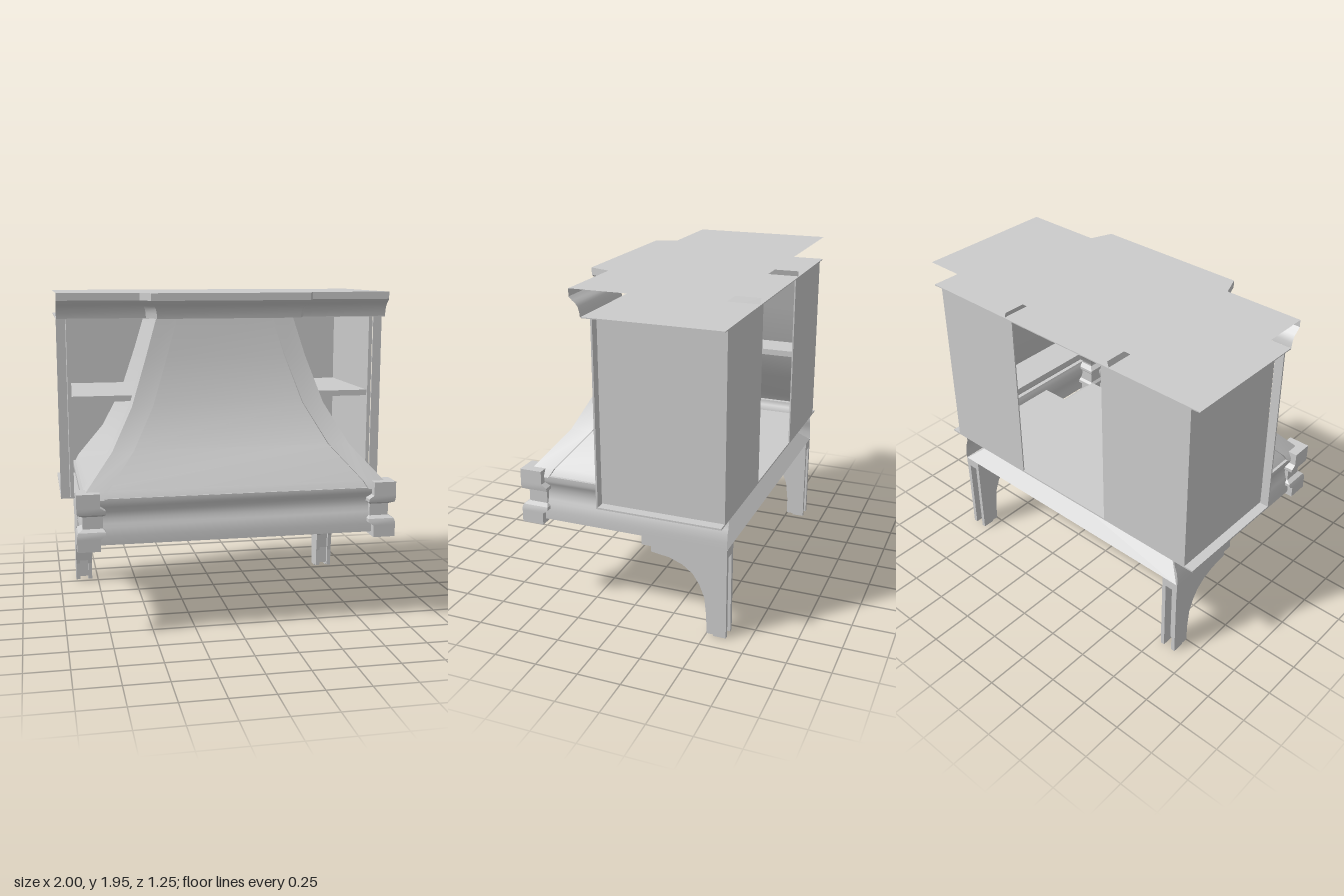
import * as THREE from 'three';
import { toCreasedNormals } from 'three/addons/utils/BufferGeometryUtils.js';

const material = new THREE.MeshStandardMaterial({ color: 0xcccccc, side: THREE.DoubleSide });
const BACK = -0.62;

// Skin over rows of [x, y, z] points; rows go up, points run left to right as seen from outside
function loft(rows, closed = false) {
  const n = rows[0].length, index = [];
  for (let i = 0; i < rows.length - 1; i++) {
    for (let j = 0; j < (closed ? n : n - 1); j++) {
      const k = (j + 1) % n;
      const a = i * n + j, b = i * n + k, c = b + n, d = a + n;
      index.push(a, b, c, a, c, d);
    }
  }
  if (closed) {
    const top = (rows.length - 1) * n;
    for (let j = 1; j < n - 1; j++) index.push(0, j + 1, j, top, top + j, top + j + 1);
  }
  const g = new THREE.BufferGeometry();
  g.setAttribute('position', new THREE.Float32BufferAttribute(rows.flat(2), 3));
  g.setIndex(index);
  return toCreasedNormals(g, 0.6);
}

// Box given by its limits
function box(x0, x1, y0, y1, z0, z1) {
  return new THREE.BoxGeometry(x1 - x0, y1 - y0, z1 - z0)
    .translate((x0 + x1) / 2, (y0 + y1) / 2, (z0 + z1) / 2);
}

// Side profile of [z, y] points, extruded from x0 to x1
function sidePlate(points, x0, x1) {
  const shape = new THREE.Shape(points.map(([z, y]) => new THREE.Vector2(-z, y)));
  const g = new THREE.ExtrudeGeometry(shape, { depth: x1 - x0, bevelEnabled: false });
  return g.rotateY(Math.PI / 2).translate(x0, 0, 0);
}

// Square-cornered ring on the left (s = 1) or right (s = -1)
function ring(s, y, x0, x1, z0, z1) {
  const r = [[x0, y, z1], [x1, y, z1], [x1, y, z0], [x0, y, z0]];
  return s > 0 ? r : r.map(([x, yy, z]) => [-x, yy, z]).reverse();
}

export function createModel() {
  const model = new THREE.Group();
  const add = (name, geometry, parent = model) => {
    const mesh = new THREE.Mesh(geometry, material);
    mesh.name = name;
    parent.add(mesh);
    return mesh;
  };
  // Box on one side, mirrored when s = -1
  const sideBox = (s, x0, x1, ...rest) => s > 0 ? box(x0, x1, ...rest) : box(-x1, -x0, ...rest);

  // Flared hood: corner position [y, x, z] at each height
  const flare = [[0.81, 0.9, 0.59], [0.855, 0.875, 0.565], [1.05, 0.71, 0.4],
    [1.29, 0.58, 0.275], [1.57, 0.485, 0.195], [1.835, 0.405, 0.155]];
  const inset = 0.02;
  add('hoodShell', loft(flare.map(([y, cx, cz]) => {
    const x = cx - inset, z = cz - inset;
    return [[-x, y, BACK], [-x, y, z], [x, y, z], [x, y, BACK]];
  })));

  // Base moulding around the front and sides: [y, z of front face]
  const mould = [[0.55, 0.578], [0.6, 0.578], [0.645, 0.572], [0.67, 0.562], [0.7, 0.553],
    [0.735, 0.553], [0.765, 0.563], [0.785, 0.574], [0.815, 0.574], [0.815, 0.53]];
  add('baseMoulding', loft(mould.map(([y, z]) => {
    const x = z + 0.32;
    return [[-x, y, BACK], [-x, y, z], [x, y, z], [x, y, BACK]];
  })));

  // Sloping liner inside the base, open underneath
  add('baseLiner', loft([
    [[-0.89, 0.55, BACK], [-0.89, 0.55, 0.575], [0.89, 0.55, 0.575], [0.89, 0.55, BACK], [-0.89, 0.55, BACK]],
    [[-0.7, 0.715, -0.46], [-0.7, 0.715, 0.4], [0.7, 0.715, 0.4], [0.7, 0.715, -0.46], [-0.7, 0.715, -0.46]],
  ].map(r => r.slice().reverse())));
  add('linerTop', box(-0.7, 0.7, 0.713, 0.717, -0.46, 0.4));

  // Cabinet floor and ceiling, and the top sheet with its projecting centre
  add('cabinetFloor', box(-1, 1, 0.72, 0.73, BACK, 0.11));
  add('cabinetCeiling', box(-1, 1, 1.796, 1.802, -0.625, 0.165));
  const edge = [[-1, 0.23], [-0.52, 0.23], [-0.47, 0.358], [0.47, 0.358], [0.52, 0.23], [1, 0.23]];
  const outline = [...edge, [1, -0.625], [-1, -0.625]];
  const sheet = new THREE.ShapeGeometry(new THREE.Shape(outline.map(([x, z]) => new THREE.Vector2(x, -z))));
  add('topSheet', sheet.rotateX(-Math.PI / 2).translate(0, 1.948, 0));

  // Crown moulding: [y, inward offset], mitred at the bends
  const crown = [[1.8, 0.062], [1.83, 0.058], [1.855, 0.05], [1.872, 0.037], [1.885, 0.02],
    [1.9, 0.005], [1.905, 0], [1.948, 0]];
  add('crownMoulding', loft(crown.map(([y, d]) => edge.map(([x, z]) => [
    Math.abs(x) === 1 ? x : x - Math.sign(x) * d * 0.68, y, z - d,
  ]))));

  // Corner block outline: [y, inner edge, outer edge] in x
  const block = [[0.525, 0.8, 0.932], [0.595, 0.8, 0.932], [0.615, 0.77, 0.932], [0.635, 0.77, 0.925],
    [0.65, 0.785, 0.898], [0.72, 0.785, 0.898], [0.735, 0.77, 0.928], [0.755, 0.77, 0.932],
    [0.775, 0.8, 0.932], [0.855, 0.8, 0.932]];

  // Bracket leg curve in [z, y]
  const curve = [[-0.505, 0.01], [-0.503, 0.12], [-0.49, 0.235], [-0.46, 0.31], [-0.42, 0.37],
    [-0.36, 0.415], [-0.28, 0.445], [-0.17, 0.46]];
  const rail = [[BACK, 0], [-0.545, 0], [-0.545, 0.01], ...curve, [-0.17, 0.5], [BACK, 0.5]];
  const web = [[-0.56, 0.02], ...curve.map(([z, y]) => [z - 0.02, y + 0.015]), [-0.19, 0.5], [-0.56, 0.5]];

  for (const s of [1, -1]) {
    const side = s > 0 ? 'left' : 'right';

    // Corner rib and base block
    add(side + 'HoodRib', loft(flare.map(([y, x, z]) => ring(s, y, x - 0.125, x, z - 0.13, z)), true));
    add(side + 'CornerBlock', loft(block.map(([y, a, b]) => ring(s, y, a, b, a - 0.312, b - 0.312)), true));

    // Side cabinet
    const cabinet = new THREE.Group();
    cabinet.name = side + 'Cabinet';
    model.add(cabinet);
    add('sidePanel', sideBox(s, 0.92, 0.942, 0.73, 1.797, BACK, 0.105), cabinet);
    add('frontStile', sideBox(s, 0.946, 1, 0.725, 1.797, 0.1, 0.11), cabinet);
    add('backPanel', sideBox(s, 0.34, 0.92, 0.73, 1.797, BACK, -0.612), cabinet);
    add('shelf', sideBox(s, 0.34, 0.92, 1.3, 1.335, -0.615, 0.09), cabinet);

    // Bracket leg with two rails, a recessed web and a cap
    const leg = new THREE.Group();
    leg.name = side + 'Leg';
    model.add(leg);
    for (const [name, profile, x0, x1] of [['outerRail', rail, 0.87, 0.895],
      ['innerRail', rail, 0.79, 0.815], ['web', web, 0.815, 0.87]]) {
      add(name, sidePlate(profile, s > 0 ? x0 : -x1, s > 0 ? x1 : -x0), leg);
    }
    add('legCap', sideBox(s, 0.79, 0.897, 0.495, 0.55, BACK, -0.115), leg);
  }
  return model;
}
